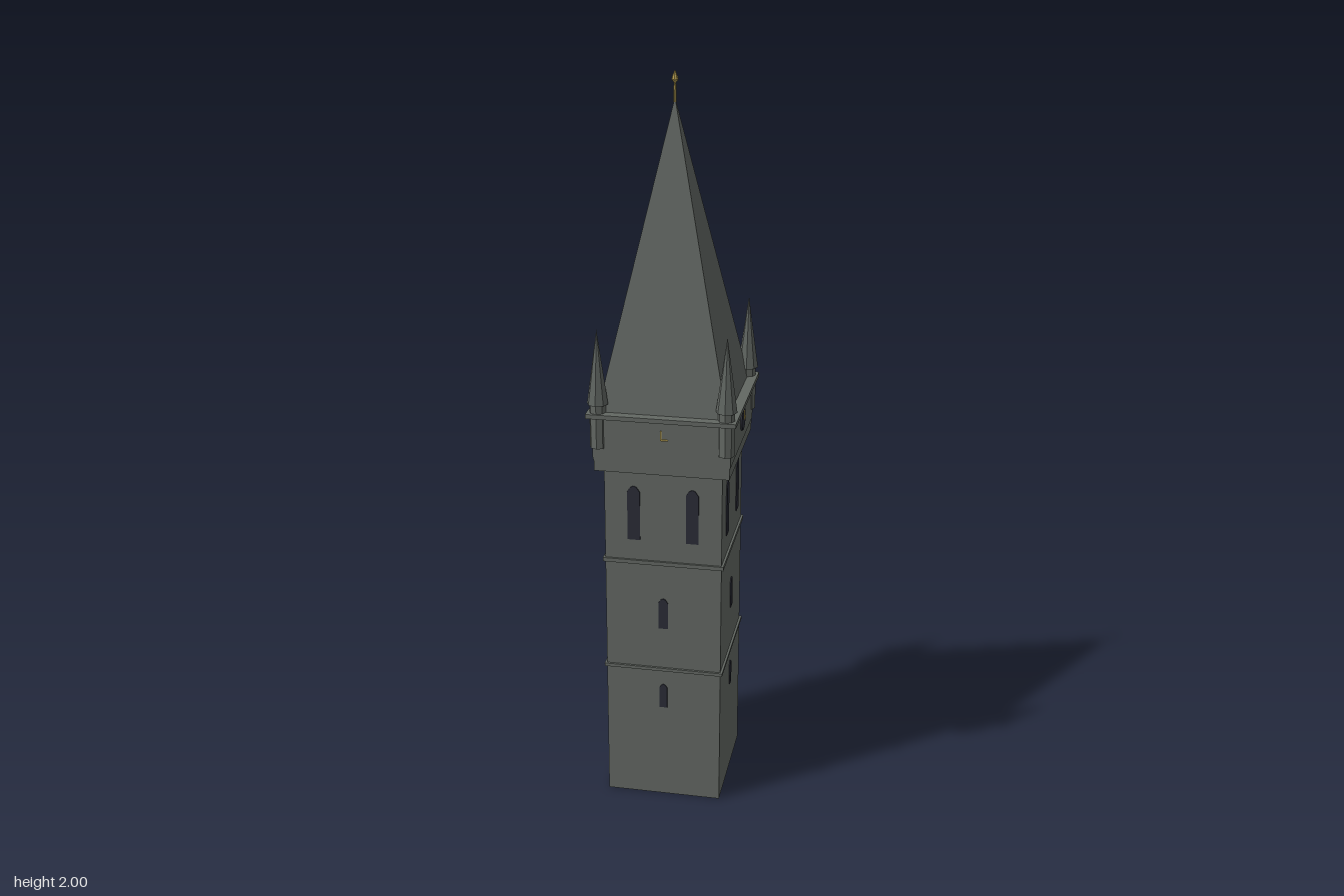
import * as THREE from 'three';

const mat = (name, color, extra = {}) => Object.assign(new THREE.MeshStandardMaterial({ color, ...extra }), { name });

export function createModel() {
  const stone = mat('stone', 0x636863, { flatShading: true, side: THREE.DoubleSide });
  const slate = mat('slate', 0x606561, { flatShading: true });
  const dark = mat('darkGlass', 0x2b2c37);
  const gold = mat('gold', 0xb09a50, { flatShading: true });

  const root = new THREE.Group();
  root.name = 'clockTower';
  const tower = new THREE.Group();
  tower.name = 'tower';
  tower.rotation.y = THREE.MathUtils.degToRad(38.4);
  root.add(tower);

  const add = (parent, name, geo, material, x = 0, y = 0, z = 0) => {
    const m = new THREE.Mesh(geo, material);
    m.name = name;
    m.position.set(x, y, z);
    parent.add(m);
    return m;
  };

  // Half width and half depth of the shaft; other tiers grow outward from it
  const A = 0.158, B = 0.168;
  const tier = (name, grow, y0, y1) => add(tower, name,
    new THREE.BoxGeometry(2 * (A + grow), y1 - y0, 2 * (B + grow)), stone, 0, (y0 + y1) / 2, 0);

  // Hollow shaft, open at the foot
  const shaft = tier('shaft', 0, 0, 0.99);
  const idx = Array.from(shaft.geometry.index.array);
  idx.splice(12, 12);
  shaft.geometry.setIndex(idx);
  shaft.geometry.clearGroups();

  tier('lowerStringCourse', 0.006, 0.395, 0.404);
  tier('upperStringCourse', 0.006, 0.715, 0.726);
  tier('corbel', 0.022, 0.985, 1.018);
  tier('clockStage', 0.024, 1.018, 1.135);
  tier('cornice', 0.039, 1.135, 1.147);

  // Pyramid spire
  const roofH = 0.785;
  const spire = new THREE.ConeGeometry(Math.SQRT2, roofH, 4);
  spire.rotateY(Math.PI / 4);
  spire.scale(A + 0.012, 1, B + 0.013);
  add(tower, 'spire', spire, slate, 0, 1.147 + roofH / 2, 0);

  // Finial
  add(tower, 'finialRod', new THREE.CylinderGeometry(0.003, 0.004, 0.06, 6), gold, 0, 1.95, 0);
  const bud = [[0, 0], [0.009, 0.012], [0.007, 0.02], [0, 0.036]].map(p => new THREE.Vector2(...p));
  add(tower, 'finialBud', new THREE.LatheGeometry(bud, 8), gold, 0, 1.964, 0);

  // Corner pinnacles
  for (const sx of [-1, 1]) for (const sz of [-1, 1]) {
    const p = new THREE.Group();
    p.name = 'pinnacle';
    p.position.set(sx * (A + 0.011), 0, sz * (B + 0.013));
    tower.add(p);
    add(p, 'pinnacleShaft', new THREE.CylinderGeometry(0.022, 0.022, 0.13, 8), stone, 0, 1.115, 0);
    add(p, 'pinnacleCap', new THREE.ConeGeometry(0.028, 0.2, 8), slate, 0, 1.27, 0);
  }

  // Thin pointed window plate, standing on its sill
  const windowGeo = (w, h) => {
    const s = new THREE.Shape([[-w / 2, 0], [w / 2, 0], [w / 2, h - w * 0.5], [w * 0.25, h - w * 0.12],
      [0, h], [-w * 0.25, h - w * 0.12], [-w / 2, h - w * 0.5]].map(p => new THREE.Vector2(...p)));
    return new THREE.ExtrudeGeometry(s, { depth: 0.006, bevelEnabled: false });
  };
  const belfryGeo = windowGeo(0.034, 0.155);
  const middleGeo = windowGeo(0.026, 0.09);
  const lowerGeo = windowGeo(0.022, 0.072);
  const discGeo = new THREE.CylinderGeometry(0.031, 0.031, 0.008, 16).rotateX(Math.PI / 2);

  // Windows and clock on each side
  for (let k = 0; k < 4; k++) {
    const side = new THREE.Group();
    side.name = 'side';
    side.rotation.y = k * Math.PI / 2;
    tower.add(side);
    const along = k % 2 ? B : A, out = k % 2 ? A : B;
    const z = out - 0.003;
    for (const s of [-1, 1]) add(side, 'belfryWindow', belfryGeo, dark, s * along / 2, 0.785, z);
    add(side, 'middleWindow', middleGeo, dark, 0, 0.525, z);
    add(side, 'lowerWindow', lowerGeo, dark, 0, 0.28, z);
    const face = out + 0.024;
    // Dials sit only on the two narrower-spaced walls
    if (k % 2) add(side, 'clockDial', discGeo, dark, 0, 1.085, face + 0.001);
    const hz = face + (k % 2 ? 0.006 : 0.002);
    add(side, 'minuteHand', new THREE.BoxGeometry(0.004, 0.027, 0.003), gold, 0, 1.0965, hz);
    add(side, 'hourHand', new THREE.BoxGeometry(0.02, 0.004, 0.003), gold, 0.009, 1.085, hz);
  }
  return root;
}
